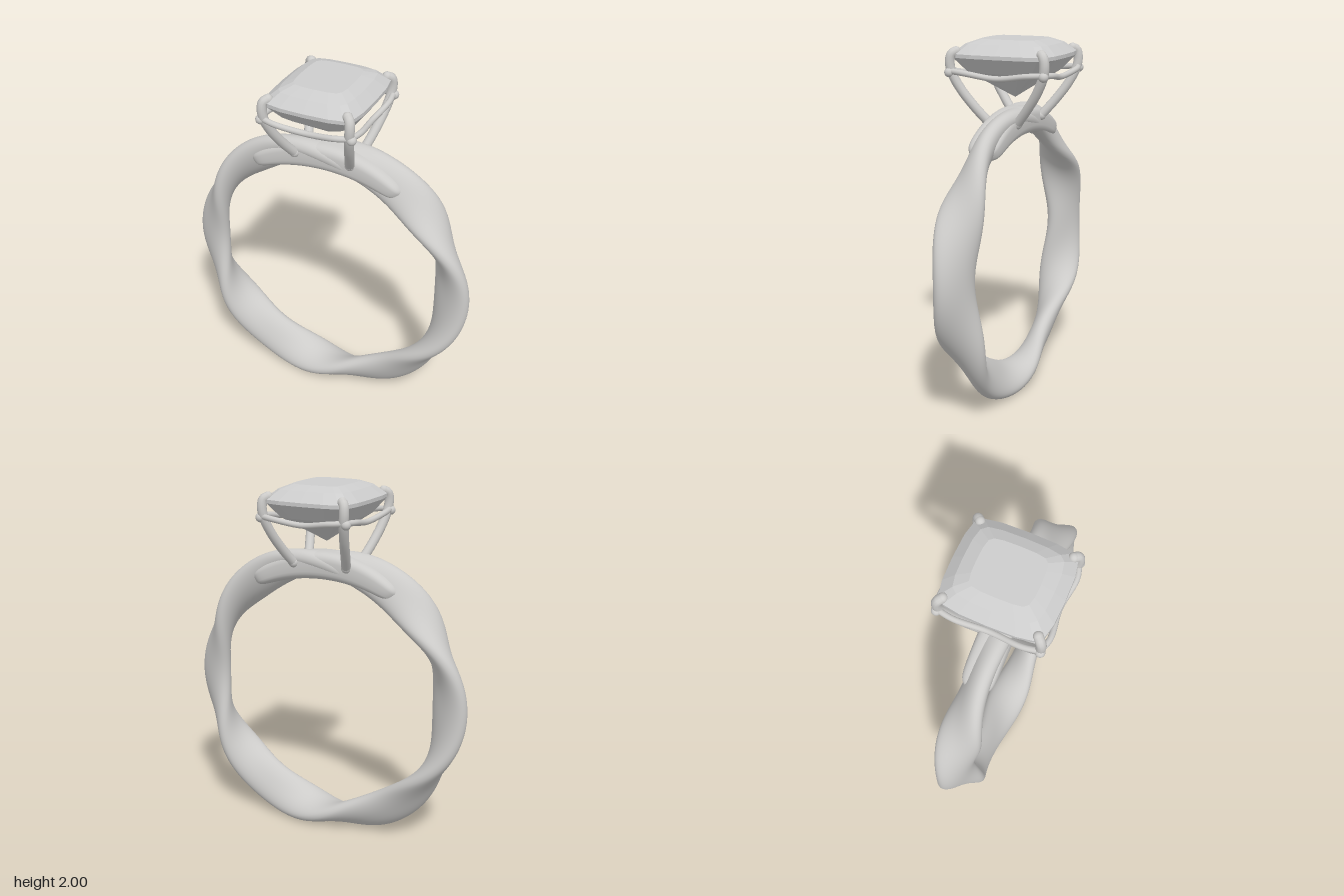
import * as THREE from 'three';

const RING_Y = 0.825;

// Skin a list of equal-length point rings; optionally join the last ring to the first
function loft(rings, closed = false) {
  const n = rings[0].length, m = rings.length, index = [];
  for (let i = 0; i < (closed ? m : m - 1); i++) {
    for (let j = 0; j < n; j++) {
      const a = i * n + j, b = i * n + (j + 1) % n;
      const c = ((i + 1) % m) * n + j, d = ((i + 1) % m) * n + (j + 1) % n;
      index.push(a, b, c, b, d, c);
    }
  }
  const g = new THREE.BufferGeometry();
  g.setAttribute('position', new THREE.Float32BufferAttribute(rings.flat(2), 3));
  g.setIndex(index);
  g.computeVertexNormals();
  return g;
}

// Oval section of the band at angle t, tilted by tau from the z axis
function bandSection(t, radius, a, b, tau, n = 40, power = 1) {
  const ring = [];
  const soft = (v) => Math.sign(v) * Math.abs(v) ** power;
  for (let j = 0; j < n; j++) {
    const p = (j / n) * Math.PI * 2;
    const u = a * soft(Math.cos(p)), v = b * soft(Math.sin(p));
    const r = radius + u * Math.sin(tau) + v * Math.cos(tau);
    const z = u * Math.cos(tau) - v * Math.sin(tau);
    ring.push([r * Math.cos(t), RING_Y + r * Math.sin(t), z]);
  }
  return ring;
}

// Ribbon rocking to and fro three times around the finger
function wavingBand() {
  const rings = [], steps = 240;
  for (let i = 0; i < steps; i++) {
    const t = (i / steps) * Math.PI * 2;
    const tau = 1.09 * Math.cos(3 * t);
    const top = Math.max(0, Math.sin(t)) ** 8;
    rings.push(bandSection(t, 0.748 - 0.007 * Math.sin(t), 0.12 - 0.025 * top, 0.06, tau, 40, 0.92));
  }
  return loft(rings, true);
}

// Thick arc under the setting, rounded off at both ends
function shoulderBar() {
  const rings = [], steps = 48, half = 0.64;
  for (let i = 0; i <= steps; i++) {
    const s = -Math.cos((i / steps) * Math.PI);
    const end = Math.sqrt(Math.max(0, 1 - Math.abs(s) ** 16));
    const mid = 1 - s * s;
    rings.push(bandSection(Math.PI / 2 + s * half, 0.74 - 0.015 * mid,
      (0.046 + 0.032 * mid) * end, 0.091 * end, Math.PI / 2, 32, 0.6));
  }
  return loft(rings);
}

// Cushion-cut stone: facet rings from the table down to the point
function stoneGeometry() {
  const quarter = [[1, 0], [0.985, 0.5], [0.93, 0.8], [0.8, 0.93], [0.5, 0.985]];
  const outline = [];
  for (let q = 0; q < 4; q++) {
    for (const [x, z] of quarter) outline.push([[x, z], [-z, x], [-x, -z], [z, -x]][q]);
  }
  const levels = [ // half x, half z, height
    [0, 0, 2], [0.145, 0.165, 2], [0.205, 0.235, 1.975], [0.265, 0.294, 1.925],
    [0.265, 0.294, 1.905], [0.205, 0.22, 1.825], [0, 0, 1.68],
  ];
  const g = loft(levels.map(([hx, hz, y]) => outline.map(([x, z]) => [x * hx, y, z * hz]))).toNonIndexed();
  g.computeVertexNormals();
  return g;
}

function wire(points, radius) {
  const curve = new THREE.CatmullRomCurve3(points.map((p) => new THREE.Vector3(...p)));
  return new THREE.TubeGeometry(curve, 40, radius, 12);
}

export function createModel() {
  const model = new THREE.Group();
  model.name = 'ring';
  const metal = new THREE.MeshStandardMaterial({ color: 0xcccbc9 });
  metal.name = 'metal';
  const stone = new THREE.MeshStandardMaterial({ color: 0xcccccc });
  stone.name = 'stone';

  const add = (name, geometry, material = metal, parent = model) => {
    const mesh = new THREE.Mesh(geometry, material);
    mesh.name = name;
    parent.add(mesh);
    return mesh;
  };

  add('wavingBand', wavingBand());
  add('shoulderBar', shoulderBar());
  add('stone', stoneGeometry(), stone);

  const setting = new THREE.Group();
  setting.name = 'setting';
  model.add(setting);

  // Four prongs with rounded claws folded over the stone's corners
  for (const sx of [-1, 1]) {
    for (const sz of [-1, 1]) {
      const path = [
        [0.162, 1.56, 0.085], [0.192, 1.645, 0.155], [0.219, 1.74, 0.222],
        [0.238, 1.83, 0.265], [0.243, 1.89, 0.272], [0.238, 1.925, 0.264], [0.22, 1.938, 0.246],
      ].map(([x, y, z]) => [x * sx, y, z * sz]);
      add('prong', wire(path, 0.026), metal, setting);
      for (const [end, r] of [[path[0], 0.028], [path[6], 0.026]]) {
        add('prongEnd', new THREE.SphereGeometry(r, 16, 12), metal, setting).position.set(...end);
      }
      // Small knob where the rails meet the prong
      add('railKnob', new THREE.SphereGeometry(0.026, 16, 12), metal, setting)
        .position.set(0.254 * sx, 1.828, 0.272 * sz);
    }
  }

  // Sagging rails joining neighbouring prongs
  for (const s of [-1, 1]) {
    add('frontBackRail', wire([
      [-0.25, 1.835, 0.27 * s], [-0.17, 1.828, 0.29 * s], [0, 1.805, 0.27 * s],
      [0.17, 1.828, 0.29 * s], [0.25, 1.835, 0.27 * s],
    ], 0.016), metal, setting);
    add('sideRail', wire([
      [0.25 * s, 1.835, -0.27], [0.262 * s, 1.828, -0.18], [0.245 * s, 1.805, 0],
      [0.262 * s, 1.828, 0.18], [0.25 * s, 1.835, 0.27],
    ], 0.016), metal, setting);
  }
  return model;
}
